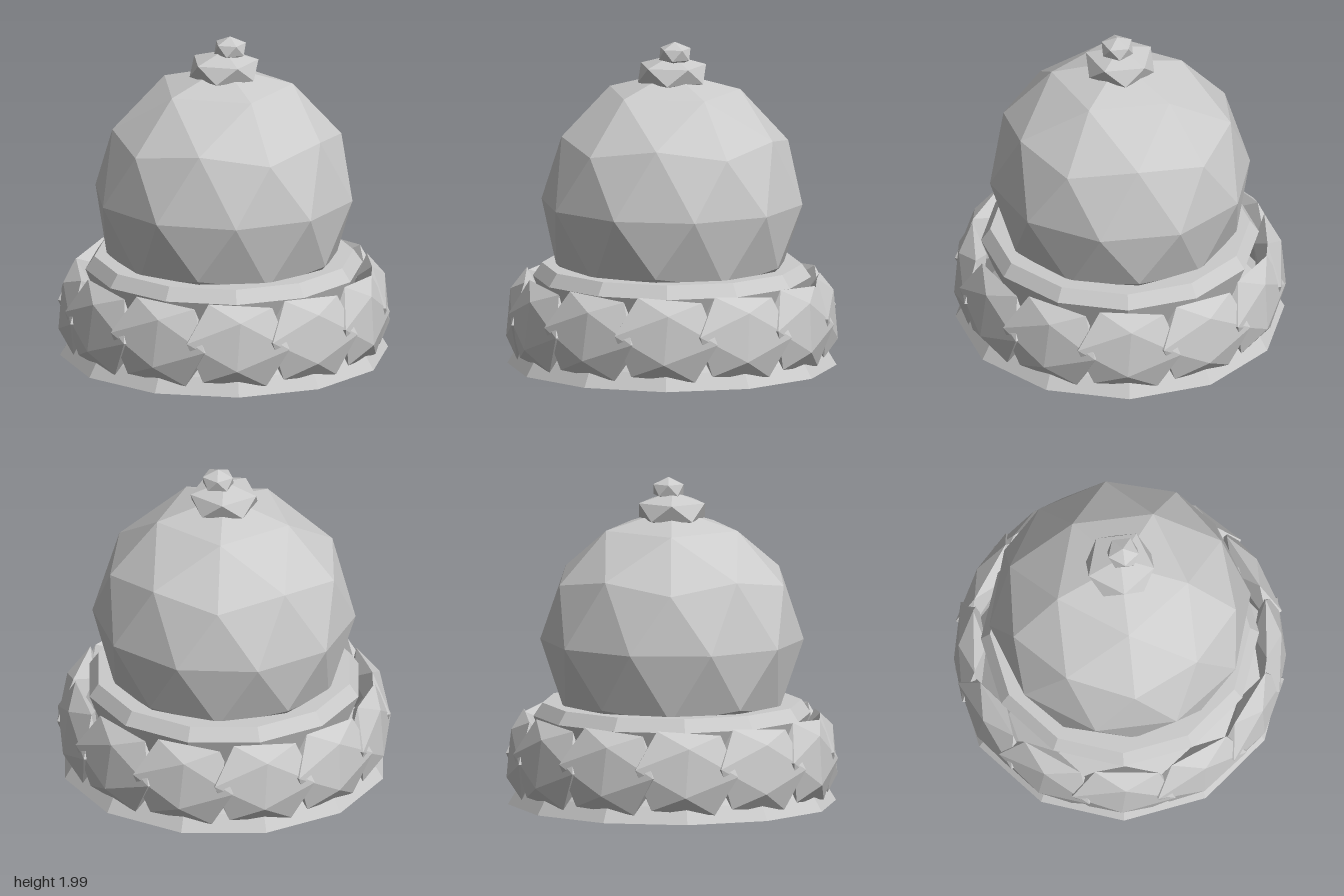
import * as THREE from 'three';

const material = new THREE.MeshStandardMaterial({ color: 0xcccccc, flatShading: true });

// Faceted ball standing on a corner, with one upper-ring corner towards +x
function poleBall(name, detail, x, y, radius, height) {
  const geometry = new THREE.IcosahedronGeometry(1, detail);
  geometry.rotateX(-Math.atan((1 + Math.sqrt(5)) / 2));
  geometry.rotateY(Math.PI / 2);
  geometry.scale(radius, height, radius);
  const mesh = new THREE.Mesh(geometry, material);
  mesh.name = name;
  mesh.position.set(x, y, 0);
  return mesh;
}

export function createModel() {
  const model = new THREE.Group();
  model.name = 'domeOnPetalBase';

  // Twelve-sided pedestal: flared foot, pinched waist, bevelled rim
  const profile = [[0, 0], [1, 0], [0.94, 0.1], [0.76, 0.32], [0.845, 0.54], [0.79, 0.62], [0, 0.62]]
    .map(([r, y]) => new THREE.Vector2(r, y));
  const pedestal = new THREE.Mesh(new THREE.LatheGeometry(profile, 12), material);
  pedestal.name = 'pedestal';
  model.add(pedestal);

  // Ring of flattened, slightly twisted petals that run into each other
  const petalGeometry = new THREE.IcosahedronGeometry(1, 0);
  petalGeometry.scale(0.37, 0.285, 0.1);
  petalGeometry.rotateZ(-0.08);
  petalGeometry.rotateX(-0.09);
  petalGeometry.translate(0, 0.305, 0.91);
  const petals = new THREE.Group();
  petals.name = 'petals';
  for (let i = 0; i < 12; i++) {
    const petal = new THREE.Mesh(petalGeometry, material);
    petal.name = 'petal';
    petal.rotation.y = (i * Math.PI) / 6;
    petals.add(petal);
  }
  model.add(petals);

  // Dome and the two squashed knobs on top
  model.add(poleBall('dome', 1, 0, 1, 0.8, 0.8));
  model.add(poleBall('lowerKnob', 0, 0, 1.79, 0.235, 0.113));
  model.add(poleBall('upperKnob', 0, 0.037, 1.915, 0.108, 0.075));

  return model;
}
